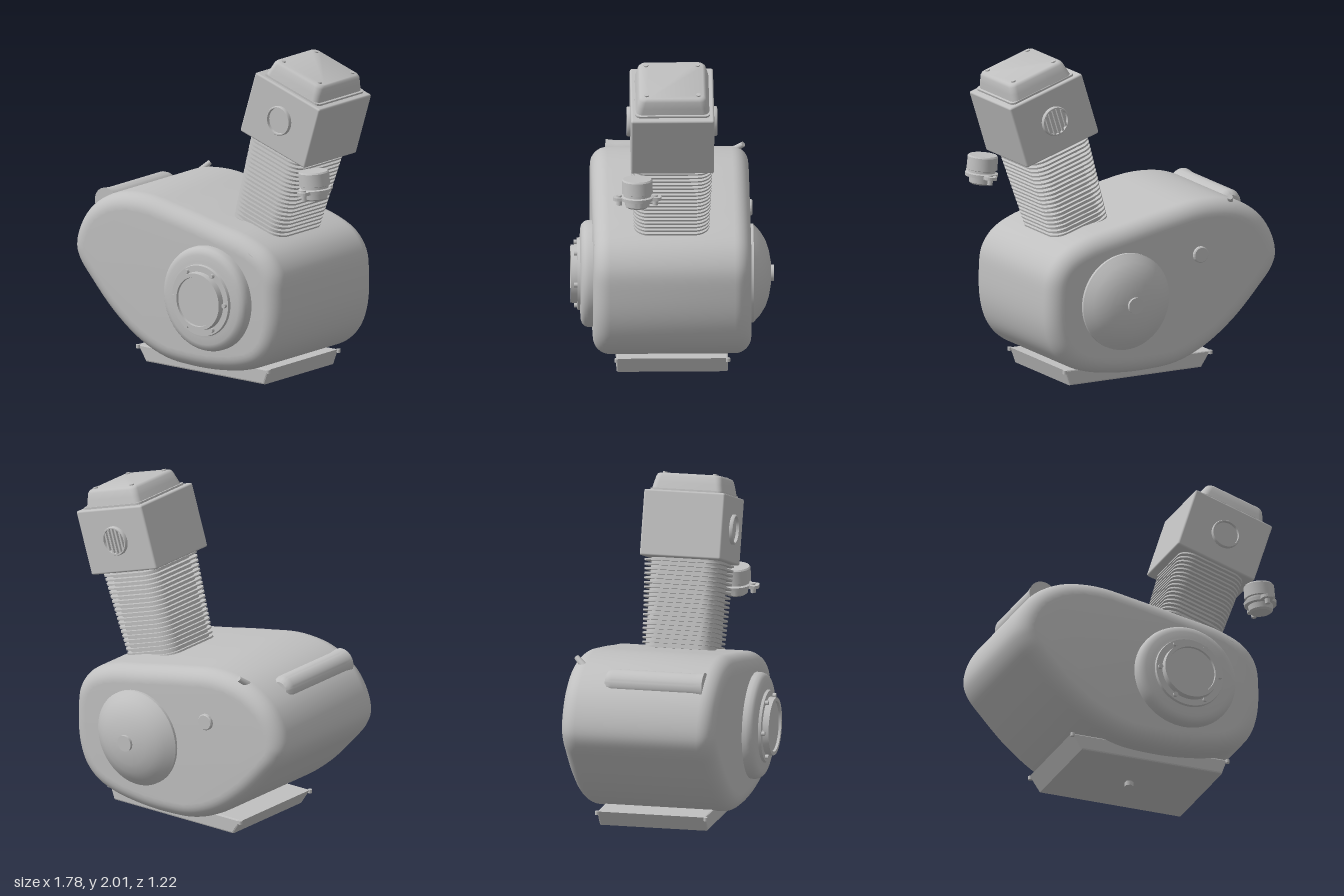
import * as THREE from 'three';
import { toCreasedNormals } from 'three/addons/utils/BufferGeometryUtils.js';
import { RoundedBoxGeometry } from 'three/addons/geometries/RoundedBoxGeometry.js';

const metal = new THREE.MeshStandardMaterial({ color: 0xc0c0c0 });
metal.name = 'grey metal';

function add(parent, name, geo, x = 0, y = 0, z = 0) {
  const m = new THREE.Mesh(geo, metal);
  m.name = name;
  m.position.set(x, y, z);
  parent.add(m);
  return m;
}

// Turned part whose axis points along +y; profile is [radius, height] pairs
function turned(profile, segments = 48) {
  const pts = profile.map(([r, h]) => new THREE.Vector2(r, h));
  return toCreasedNormals(new THREE.LatheGeometry(pts, segments), 0.6);
}
const toFront = (g) => g.rotateX(Math.PI / 2);
const toBack = (g) => g.rotateX(-Math.PI / 2);
const cyl = (r, h, n = 32) => new THREE.CylinderGeometry(r, r, h, n);

// Horizontal slab with rounded corners, standing on y = 0
function slab(w, d, r, h) {
  const s = new THREE.Shape();
  const a = w / 2, b = d / 2;
  s.absarc(a - r, b - r, r, 0, Math.PI / 2);
  s.absarc(-a + r, b - r, r, Math.PI / 2, Math.PI);
  s.absarc(-a + r, -b + r, r, Math.PI, Math.PI * 1.5);
  s.absarc(a - r, -b + r, r, Math.PI * 1.5, Math.PI * 2);
  const g = new THREE.ExtrudeGeometry(s, { depth: h, bevelEnabled: false, curveSegments: 6 });
  return toCreasedNormals(g.rotateX(-Math.PI / 2), 0.6);
}

function buildCase(root) {
  // Egg-shaped crankcase with rounded rims
  const outline = [
    [-0.89, 0.7], [-0.86, 0.83], [-0.77, 0.96], [-0.6, 1.06], [-0.37, 1.09], [-0.1, 1.05],
    [0.2, 0.99], [0.45, 0.935], [0.6, 0.86], [0.68, 0.75], [0.7, 0.6], [0.69, 0.41], [0.64, 0.27],
    [0.55, 0.175], [0.42, 0.12], [0.2, 0.085], [0, 0.08], [-0.2, 0.1], [-0.4, 0.18],
    [-0.6, 0.325], [-0.77, 0.5], [-0.86, 0.61],
  ].map(([x, y]) => new THREE.Vector3(x, y, 0));
  const loop = new THREE.CatmullRomCurve3(outline, true).getPoints(110).slice(0, -1);
  const shape = new THREE.Shape(loop.map((p) => new THREE.Vector2(p.x, p.y)));
  const g = new THREE.ExtrudeGeometry(shape, {
    depth: 0.75, bevelThickness: 0.1, bevelSize: 0.1, bevelOffset: -0.1, bevelSegments: 8,
  });
  add(root, 'crankcase', toCreasedNormals(g.translate(0, 0, -0.375), 0.6));

  // Raised seam along the upper front edge
  const seam = new THREE.CatmullRomCurve3([
    [-0.64, 0.95, 0.462], [-0.53, 1.01, 0.458], [-0.37, 1.03, 0.455], [-0.1, 0.99, 0.455],
    [0.2, 0.93, 0.455], [0.4, 0.89, 0.455], [0.51, 0.845, 0.46],
  ].map((p) => new THREE.Vector3(...p)));
  add(root, 'coverSeam', new THREE.TubeGeometry(seam, 60, 0.009, 6));

  // Breather pipe lying across the top
  add(root, 'breatherPipe', toFront(turned([
    [0, -0.225], [0.05, -0.225], [0.068, -0.21], [0.078, -0.18], [0.078, 0.32], [0.085, 0.38], [0, 0.38],
  ])), -0.693, 0.985, 0);

  // Dipstick leaning backwards
  const from = new THREE.Vector3(-0.6, 1.02, -0.36), to = new THREE.Vector3(-0.555, 1.09, -0.445);
  const stick = add(root, 'dipstick', new THREE.CylinderGeometry(0.016, 0.024, from.distanceTo(to), 16));
  stick.position.copy(from).lerp(to, 0.5);
  stick.quaternion.setFromUnitVectors(new THREE.Vector3(0, 1, 0), to.clone().sub(from).normalize());

  // Small plug on the back
  add(root, 'backPlug', toBack(turned([[0.05, 0], [0.05, 0.016], [0.044, 0.022], [0, 0.022]])), -0.33, 0.77, -0.473);
}

function buildCovers(root) {
  // Front bearing cover with recessed hub and ring of bolts
  const front = new THREE.Group();
  front.name = 'frontCover';
  front.position.set(0.185, 0.545, 0.47);
  root.add(front);
  add(front, 'coverDisc', toFront(turned([
    [0.322, 0], [0.322, 0.03], [0.315, 0.052], [0.3, 0.068], [0.275, 0.076], [0.235, 0.078],
    [0.22, 0.08], [0.216, 0.097], [0.178, 0.097], [0.174, 0.135], [0.152, 0.135], [0.15, 0.12], [0, 0.12],
  ], 64)));
  for (let i = 0; i < 6; i++) {
    const a = (i * Math.PI) / 3;
    add(front, 'coverBolt', toFront(cyl(0.014, 0.03, 12)), 0.193 * Math.cos(a), 0.193 * Math.sin(a), 0.102);
  }

  // Domed back cover
  add(root, 'backDome', toBack(turned([
    [0.297, 0], [0.297, 0.02], [0.285, 0.03], [0.25, 0.062], [0.2, 0.092], [0.14, 0.113], [0.07, 0.125], [0, 0.128],
  ], 64)), 0.19, 0.545, -0.472);
  add(root, 'backDomeHub', toBack(cyl(0.05, 0.04)), 0.19, 0.545, -0.595);
}

function buildSump(root) {
  // Tapered oil pan with drain plug and corner bolts
  const s = new THREE.Shape([[-0.485, 0.125], [-0.42, 0.028], [0.49, 0.028], [0.525, 0.125]]
    .map(([x, y]) => new THREE.Vector2(x, y)));
  const g = new THREE.ExtrudeGeometry(s, {
    depth: 0.65, bevelThickness: 0.01, bevelSize: 0.01, bevelOffset: -0.01, bevelSegments: 2,
  });
  add(root, 'oilPan', g.translate(0, 0, -0.325));
  add(root, 'drainPlug', cyl(0.027, 0.04, 6), 0.02, 0.02, 0.01);
  for (const x of [-0.48, 0.525]) {
    for (const z of [-0.335, 0.335]) add(root, 'panBolt', cyl(0.013, 0.022, 12), x, 0.115, z);
  }
}

function buildCylinder(root) {
  // Leaning finned barrel and head, placed around the head centre
  const tower = new THREE.Group();
  tower.name = 'cylinderTower';
  tower.position.set(0.545, 1.656, 0.003);
  tower.rotation.z = -0.306;
  root.add(tower);

  add(tower, 'barrel', slab(0.35, 0.42, 0.08, 0.65), 0, -0.83, 0);
  const fins = 20;
  for (let i = 0; i < fins; i++) {
    const k = 1 - i * 0.004;
    add(tower, 'coolingFin', slab(0.43 * k, 0.49 * k, 0.09, 0.011), 0, -0.222 - i * 0.0275, 0);
  }

  add(tower, 'head', new RoundedBoxGeometry(0.522, 0.4, 0.5, 3, 0.012));
  add(tower, 'headGasket', slab(0.45, 0.45, 0.03, 0.014), 0, 0.198, 0);

  // Tapered rocker cover with four screws
  const levels = [[0.425, 0.205], [0.405, 0.25], [0.385, 0.292], [0.37, 0.304], [0.35, 0.309]];
  const pos = [], idx = [], n = 32;
  for (const [w, y] of levels) {
    for (let i = 0; i < n; i++) {
      const q = Math.floor(i / 8), a = ((q + (i % 8) / 7) * Math.PI) / 2, r = 0.04;
      const sx = q === 0 || q === 3 ? 1 : -1, sz = q < 2 ? 1 : -1;
      pos.push(sx * (w / 2 - r) + r * Math.cos(a), y, sz * (w / 2 + 0.01 - r) + r * Math.sin(a));
    }
  }
  for (let l = 0; l < levels.length - 1; l++) {
    for (let i = 0; i < n; i++) {
      const a = l * n + i, b = l * n + ((i + 1) % n);
      idx.push(a, a + n, b, b, a + n, b + n);
    }
  }
  const top = (levels.length - 1) * n;
  for (let i = 1; i < n - 1; i++) idx.push(top, top + i + 1, top + i);
  const cover = new THREE.BufferGeometry();
  cover.setAttribute('position', new THREE.Float32BufferAttribute(pos, 3));
  cover.setIndex(idx);
  add(tower, 'rockerCover', toCreasedNormals(cover, 0.7));
  for (const x of [-0.145, 0.145]) {
    for (const z of [-0.155, 0.155]) add(tower, 'coverScrew', cyl(0.014, 0.02, 12), x, 0.307, z);
  }

  // Round port in front, slatted port behind
  const ring = [[0.09, 0], [0.09, 0.018], [0.086, 0.024], [0.079, 0.024], [0.077, 0.006], [0, 0.006]];
  add(tower, 'frontPort', toFront(turned(ring)), 0, 0, 0.248);
  add(tower, 'backPort', toBack(turned(ring)), 0, 0, -0.248);
  for (let i = -2; i <= 2; i++) {
    const x = i * 0.028;
    add(tower, 'portSlat', new THREE.BoxGeometry(0.012, 2 * Math.sqrt(0.0062 - x * x), 0.02), x, 0, -0.26);
  }
}

function buildCarburettor(root) {
  // Small capped pot beside the barrel with two bolted lugs
  const pot = new THREE.Group();
  pot.name = 'carburettor';
  pot.position.set(0.785, 1.28, 0.215);
  pot.rotation.z = 0.09;
  root.add(pot);
  add(pot, 'potBody', turned([
    [0, -0.082], [0.06, -0.082], [0.072, -0.072], [0.075, -0.038], [0.098, -0.035], [0.1, -0.015],
    [0.083, -0.01], [0.083, 0.004], [0.093, 0.008], [0.092, 0.085], [0.085, 0.094], [0, 0.094],
  ]));
  for (const s of [-1, 1]) {
    add(pot, 'potLug', slab(0.075, 0.09, 0.03, 0.02), 0, -0.036, s * 0.1);
    add(pot, 'lugBolt', cyl(0.016, 0.062, 12), 0, -0.037, s * 0.108);
  }
}

export function createModel() {
  const root = new THREE.Group();
  root.name = 'engine';
  buildCase(root);
  buildCovers(root);
  buildSump(root);
  buildCylinder(root);
  buildCarburettor(root);
  return root;
}
